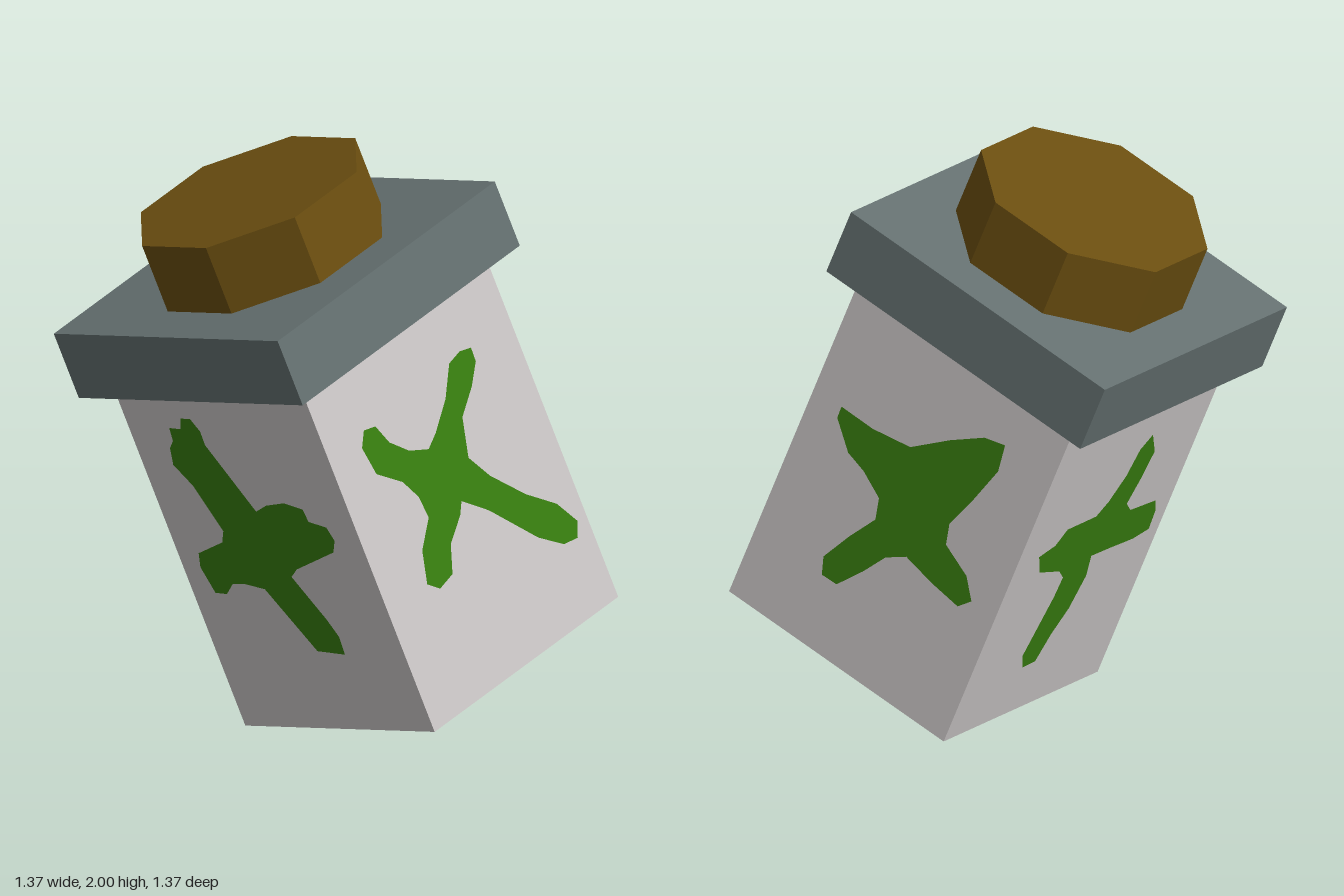
import * as THREE from 'three';

const mat = (name, color) => {
  const m = new THREE.MeshStandardMaterial({ color });
  m.name = name;
  return m;
};

// Splat outlines: x across the face, y up from the base of the body
const splats = {
  frontSplat: [-.14, 1.157, -.114, 1.11, -.116, 1.06, .008, .814, .069, .838, .159, .849, .241, .828, .246, .782,
    .323, .762, .338, .713, .31, .669, .097, .6, .057, .571, .148, .413, .176, .349, .171, .283, .042, .293,
    -.098, .521, -.191, .539, -.246, .537, -.294, .498, -.348, .501, -.373, .597, -.355, .649, -.218, .693,
    -.191, .736, -.253, .904, -.31, .981, -.294, 1.044, -.266, 1.071, -.259, 1.12, -.206, 1.117, -.185, 1.157],
  rightSplat: [.212, 1.054, .263, 1.041, .261, .991, .207, .926, .124, .857, .086, .726, .143, .627, .253, .498,
    .36, .403, .414, .31, .39, .26, .327, .27, .237, .344, .086, .529, -.007, .615, -.033, .577, -.114, .513,
    -.153, .422, -.223, .406, -.267, .446, -.235, .555, -.16, .637, -.167, .718, -.207, .796, -.297, .875,
    -.314, .981, -.28, 1.029, -.229, 1.016, -.199, .94, -.134, .873, -.056, .836, -.004, .868, .086, .946, .154, 1.041],
  backSplat: [-.342, .829, -.208, .828, -.058, .853, .064, .962, .175, 1.046, .254, 1.067, .267, .97, .222, .819,
    .178, .699, .196, .625, .307, .572, .359, .503, .32, .457, .203, .473, .081, .5, .013, .452, -.042, .359,
    -.112, .26, -.174, .258, -.194, .319, -.136, .439, -.073, .549, -.091, .624, -.179, .675, -.256, .699, -.341, .785],
  leftSplat: [.13, 1.066, .194, .979, .179, .885, .15, .779, .196, .74, .351, .731, .382, .682, .389, .604,
    .301, .591, .158, .597, .049, .599, .072, .512, .045, .388, -.006, .298, -.04, .199, -.113, .196, -.149, .253,
    -.124, .366, -.099, .479, -.093, .555, -.139, .594, -.282, .633, -.331, .711, -.247, .731, -.206, .784,
    -.036, .785, .011, .831, .061, .92, .083, 1.02],
};

export function createModel() {
  const pale = mat('pale body', 0xcfcaca);
  const slate = mat('slate lid', 0x667272);
  const brown = mat('brown stopper', 0x6c4f10);
  const green = mat('green paint', 0x398010);

  const W = 0.92, H = 1.27, LID = 0.24, CAP = 0.245;
  const jar = new THREE.Group();
  jar.name = 'tiltedJar';

  const add = (name, geo, material, y) => {
    const mesh = new THREE.Mesh(geo, material);
    mesh.name = name;
    mesh.position.y = y;
    jar.add(mesh);
    return mesh;
  };

  // Square body, overhanging lid and eight-sided stopper
  add('body', new THREE.BoxGeometry(W, H, W), pale, H / 2);
  add('lid', new THREE.BoxGeometry(1.088, LID, 1.088), slate, H + LID / 2);
  const cap = new THREE.CylinderGeometry(0.405, 0.405, CAP, 8, 1, false, Math.PI / 8).toNonIndexed();
  cap.computeVertexNormals();
  add('stopper', cap, brown, H + LID + CAP / 2);

  // One painted splat on each side, turned a quarter at a time
  Object.entries(splats).forEach(([name, p], i) => {
    const points = [];
    for (let k = 0; k < p.length; k += 2) points.push(new THREE.Vector2(p[k], p[k + 1]));
    const geo = new THREE.ShapeGeometry(new THREE.Shape(points));
    geo.translate(0, 0, W / 2 + 0.003);
    geo.rotateY(i * Math.PI / 2);
    add(name, geo, green, 0);
  });

  // Whole jar leans 20 degrees about the diagonal, resting on one corner
  jar.quaternion.setFromAxisAngle(new THREE.Vector3(1, 0, 1).normalize(), Math.PI / 9);
  jar.position.set(0.217, 0.2226, -0.217);

  const model = new THREE.Group();
  model.name = 'jar';
  model.add(jar);
  return model;
}
